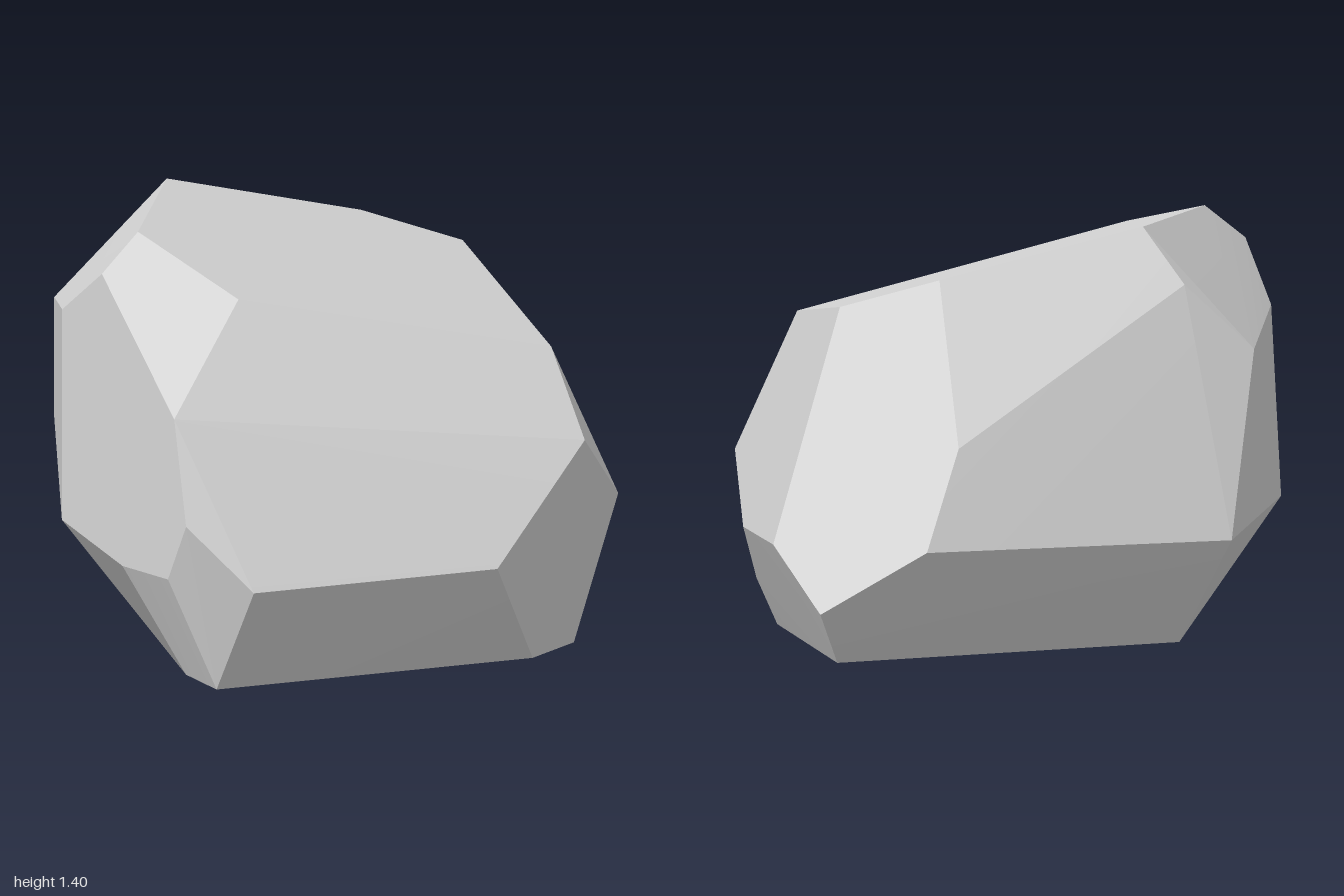
import * as THREE from 'three';
import { ConvexGeometry } from 'three/addons/geometries/ConvexGeometry.js';
import { toCreasedNormals } from 'three/addons/utils/BufferGeometryUtils.js';

// Corners of the boulder, grouped by height
const base = [
  [-0.82, 0.03, 0.8], [0.34, 0.02, 0.78], [0.56, 0.02, 0.63], [0.76, 0.01, -0.02],
  [0.76, 0, -0.78], [-0.41, 0.02, -0.78], [-0.82, 0.03, 0.56],
];
const waist = [
  [-0.77, 0.39, 0.985], [0.11, 0.39, 1], [0.74, 0.5, 0.59], [0.85, 0.18, -0.09],
  [0.955, 0.39, -0.31], [0.955, 0.39, -0.69], [0.845, 0.18, -0.88], [0.51, 0.39, -0.99],
  [-0.53, 0.39, -1], [-0.91, 0.4, -0.22], [-0.94, 0.36, 0.32], [-0.96, 0.4, 0.72],
];
const shoulder = [
  [-0.945, 0.6, 0.83], [-0.9, 0.92, 0.64], [0.53, 0.74, 0.78], [0.57, 0.98, 0.43],
  [0.38, 0.72, -0.91], [-0.61, 0.59, -0.93], [-0.65, 1, -0.84], [-0.83, 1.07, -0.39],
];
const crown = [
  [-0.55, 1.24, 0.39], [-0.67, 1.37, -0.14], [-0.31, 1.4, -0.69], [0.37, 1.24, -0.63],
  [0.67, 1.14, -0.48], [-0.82, 1.25, -0.1], [-0.42, 1.22, -0.81],
];
const corners = [...base, ...waist, ...shoulder, ...crown].map((p) => new THREE.Vector3(...p));

// Slightly twisted facets, by corner number, that are each shaded as one plane
const facets = [
  [27, 22, 21, 20], // upper front
  [21, 22, 31, 12, 11, 9], // left side
  [31, 30, 23, 14, 13, 12], // back left
  [25, 24, 15, 16, 26], // back right
  [15, 5, 6, 17, 16], // lower back right
  [26, 16, 17, 18, 19, 20, 32], // right side
];

// Gives every triangle inside a facet the facet's mean normal
function flattenFacet(geometry, facet) {
  const { position, normal } = geometry.attributes;
  const triangle = new THREE.Triangle();
  const mean = new THREE.Vector3();
  const face = new THREE.Vector3();
  const starts = [];
  const belongs = (v) => facet.some((i) => corners[i].distanceTo(v) < 1e-4);
  for (let i = 0; i < position.count; i += 3) {
    triangle.setFromAttributeAndIndices(position, i, i + 1, i + 2);
    if (![triangle.a, triangle.b, triangle.c].every(belongs)) continue;
    mean.addScaledVector(triangle.getNormal(face), triangle.getArea());
    starts.push(i);
  }
  mean.normalize();
  for (const s of starts) {
    for (let k = 0; k < 3; k++) normal.setXYZ(s + k, mean.x, mean.y, mean.z);
  }
}

export function createModel() {
  const stone = new THREE.MeshStandardMaterial({ color: 0xd2d2d2 });
  stone.name = 'stoneGrey';

  // Chiselled solid; nearly flat neighbours are blended
  const geometry = toCreasedNormals(new ConvexGeometry(corners), 0.1);
  facets.forEach((facet) => flattenFacet(geometry, facet));
  const boulder = new THREE.Mesh(geometry, stone);
  boulder.name = 'boulder';

  const group = new THREE.Group();
  group.name = 'rock';
  group.add(boulder);
  return group;
}
